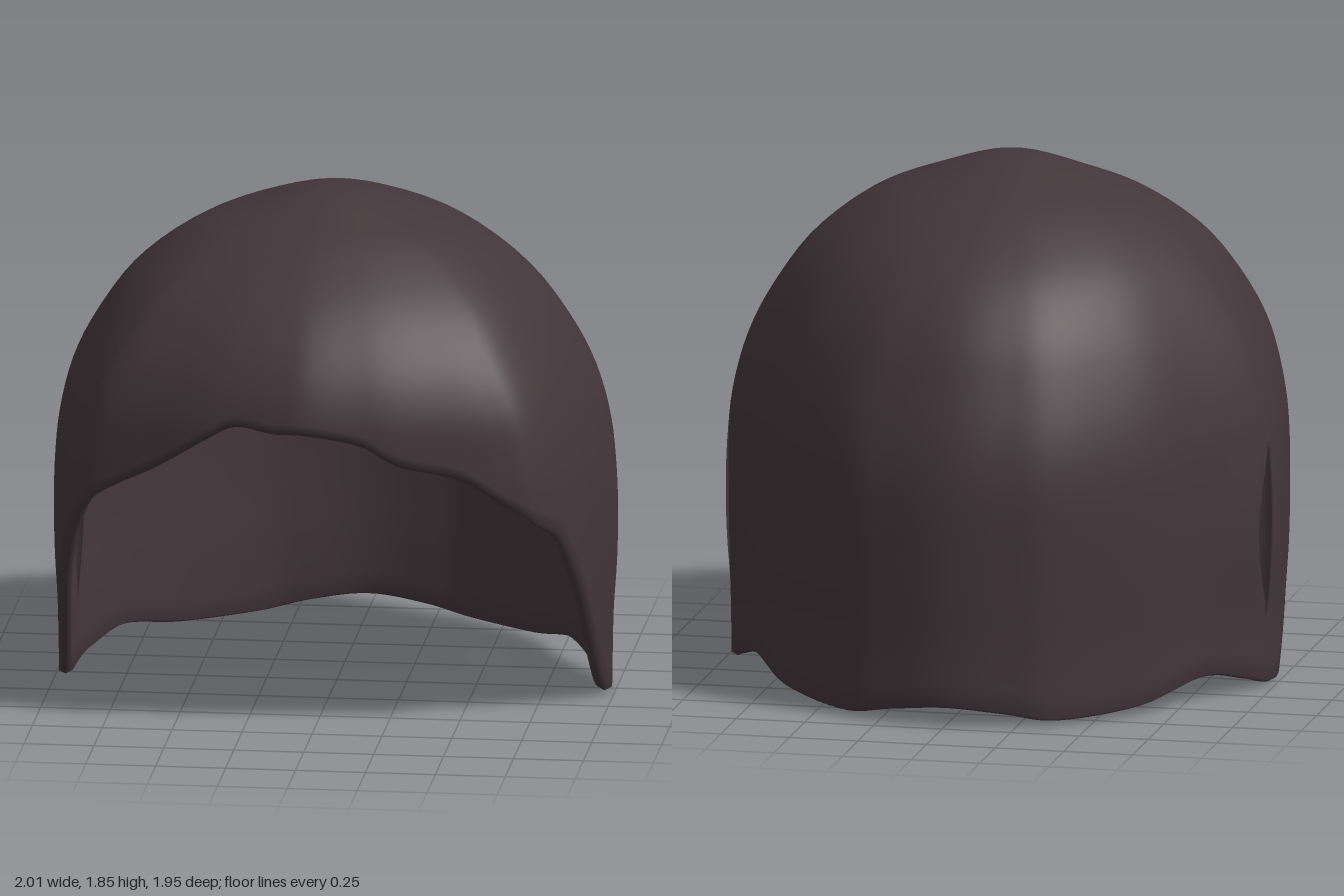
import * as THREE from 'three';
import { mergeVertices } from 'three/addons/utils/BufferGeometryUtils.js';

const V = (a) => new THREE.Vector3(...a);
const SLIT_Z = -0.09, THICK = 0.045, ROWS = 44, SUB = 6;

// Rim, as [x, height, z]: left side from the back to the front corner
const sideRim = [
  [0.21, 0.045, -0.945], [0.4, 0.015, -0.87], [0.66, 0.03, -0.63], [0.83, 0.085, -0.37],
  [0.94, 0.045, -0.19], [0.985, 0.015, SLIT_Z], [1, 0, 0.03], [0.99, 0.05, 0.13],
  [0.97, 0.23, 0.28], [0.935, 0.48, 0.46], [0.88, 0.7, 0.62],
];
// Uneven front edge, left to right
const frontRim = [
  [0.8, 0.79, 0.735], [0.69, 0.87, 0.79], [0.55, 0.97, 0.84], [0.34, 1.03, 0.91],
  [0.2, 1.11, 0.94], [0, 1.15, 0.975], [-0.13, 1.15, 0.96], [-0.28, 1.165, 0.93],
  [-0.4, 1.1, 0.9], [-0.56, 0.99, 0.84], [-0.8, 0.84, 0.735],
];
const rimPoints = [
  [0, 0.065, -0.98], ...sideRim, ...frontRim,
  ...sideRim.map(([x, y, z]) => [-x, y, z]).reverse(),
];
const rim = new THREE.CatmullRomCurve3(rimPoints.map(V), true, 'catmullrom');
const K = rimPoints.length;
const slitColumns = [6, K - 6].map((i) => i * SUB);

// Levels from the crown down: [height, half width, front z, back z, centre z]
const levels = [
  [1.85, 0, 0.15, 0.15, 0.15], [1.842, 0.1, 0.23, 0.02, 0.15], [1.79, 0.27, 0.36, -0.19, 0.14],
  [1.7, 0.5, 0.54, -0.4, 0.13], [1.55, 0.7, 0.75, -0.63, 0.11], [1.38, 0.83, 0.895, -0.78, 0.09],
  [1.2, 0.925, 0.97, -0.87, 0.07], [1, 0.98, 0.985, -0.94, 0.05], [0.8, 1, 0.985, -0.97, 0.05],
  [0.5, 1, 0.985, -0.97, 0.05], [0.25, 0.99, 0.98, -0.965, 0.05], [-0.05, 0.985, 0.98, -0.975, 0.05],
];
const profile = (f) => new THREE.CatmullRomCurve3(levels.map((l) => V(f(l))), false, 'catmullrom');
const widthFront = profile(([y, w, f]) => [w, y, f]);
const backCentre = profile(([y, , , b, c]) => [b, y, c]);

// Profile parameter at which a given height is reached
function paramAtHeight(y) {
  let lo = 0, hi = 1;
  for (let i = 0; i < 30; i++) {
    const mid = (lo + hi) / 2;
    if (widthFront.getPoint(mid).y > y) lo = mid; else hi = mid;
  }
  return lo;
}

// Point on the outer shell: p runs round the rim, u from crown to rim
function surface(p, u) {
  const c = rim.getPoint((p + 1) % 1);
  const t = paramAtHeight(c.y + 0.012) * u;
  const a = widthFront.getPoint(t), b = backCentre.getPoint(t);
  let X = c.x, Z = c.z - 0.05;
  Z /= Z > 0 ? 0.93 : 1.03;
  // The plan becomes rounder towards the crown
  const round = THREE.MathUtils.lerp(1, 1 / Math.hypot(X, Z), Math.max(0, 1 - a.x * a.x));
  X *= round;
  Z *= round;
  return new THREE.Vector3(X * a.x, a.y, b.z + Z * (Z > 0 ? a.z - b.z : b.z - b.x));
}

function normalAt(p, u) {
  if (u === 0) return new THREE.Vector3(0, 1, 0);
  const e = 0.002;
  const across = surface(p + e, u).sub(surface(p - e, u));
  const down = surface(p, Math.min(1, u + e)).sub(surface(p, u - e));
  return down.cross(across).normalize().negate();
}

// Half-lens opening of the slit at a given height
const slitWidth = (y) => (y > 0.3 && y < 0.87 ? 0.065 * Math.sin(Math.PI * (y - 0.3) / 0.57) : 0);

// One closed strip: outer wall down, rounded lip, inner wall back up
function column(p, rear) {
  const outer = [], inner = [];
  for (let j = 0; j <= ROWS; j++) {
    const o = surface(p, j / ROWS), n = normalAt(p, j / ROWS);
    if (n.dot(new THREE.Vector3(o.x, o.y - 0.5, o.z)) < 0) n.negate();
    const i = o.clone().addScaledVector(n, -THICK);
    const fall = Math.max(0, 1 - Math.abs(o.z - SLIT_Z) / 0.3);
    const open = Math.abs(o.x) > 0.5 ? slitWidth(o.y) * fall : 0;
    for (const v of [o, i]) {
      if (rear) v.z -= open;
      v.x -= Math.sign(v.x) * open * (rear ? 0.3 : -0.1);
    }
    outer.push(o);
    inner.push(i);
  }
  const lip = outer[ROWS].clone().lerp(inner[ROWS], 0.5);
  lip.y -= 0.012;
  return [...outer, lip, ...inner.reverse()];
}

function shellGeometry() {
  const columns = [], gaps = new Set();
  for (let i = 0; i < K * SUB; i++) {
    const p = i / (K * SUB);
    const slit = slitColumns.indexOf(i);
    if (slit >= 0) {
      gaps.add(columns.length);
      columns.push(column(p, slit === 0), column(p, slit === 1));
    } else {
      columns.push(column(p, rim.getPoint(p).z < SLIT_Z));
    }
  }
  const ring = columns[0].length, index = [];
  const quad = (a, b, c, d) => index.push(a, b, c, a, c, d);
  columns.forEach((_, i) => {
    const a = i * ring, b = ((i + 1) % columns.length) * ring;
    for (let j = 0; j < ring - 1; j++) {
      if (!gaps.has(i)) {
        quad(a + j, b + j, b + j + 1, a + j + 1);
      } else if (j < ROWS && slitWidth(columns[i][j].y) + slitWidth(columns[i][j + 1].y) > 0) {
        // Walls joining outer and inner skin along both slit edges
        const k = ring - 1 - j;
        quad(a + j, a + j + 1, a + k - 1, a + k);
        quad(b + j, b + k, b + k - 1, b + j + 1);
      }
    }
  });
  const g = new THREE.BufferGeometry();
  g.setAttribute('position', new THREE.Float32BufferAttribute(
    columns.flat().flatMap((v) => [v.x, v.y, v.z]), 3));
  g.setIndex(index);
  const merged = mergeVertices(g, 1e-4);
  merged.computeVertexNormals();
  return merged;
}

export function createModel() {
  const group = new THREE.Group();
  group.name = 'cap';
  const material = new THREE.MeshStandardMaterial({ color: 0x43363a, side: THREE.DoubleSide });
  const shell = new THREE.Mesh(shellGeometry(), material);
  shell.name = 'capShell';
  group.add(shell);
  return group;
}
